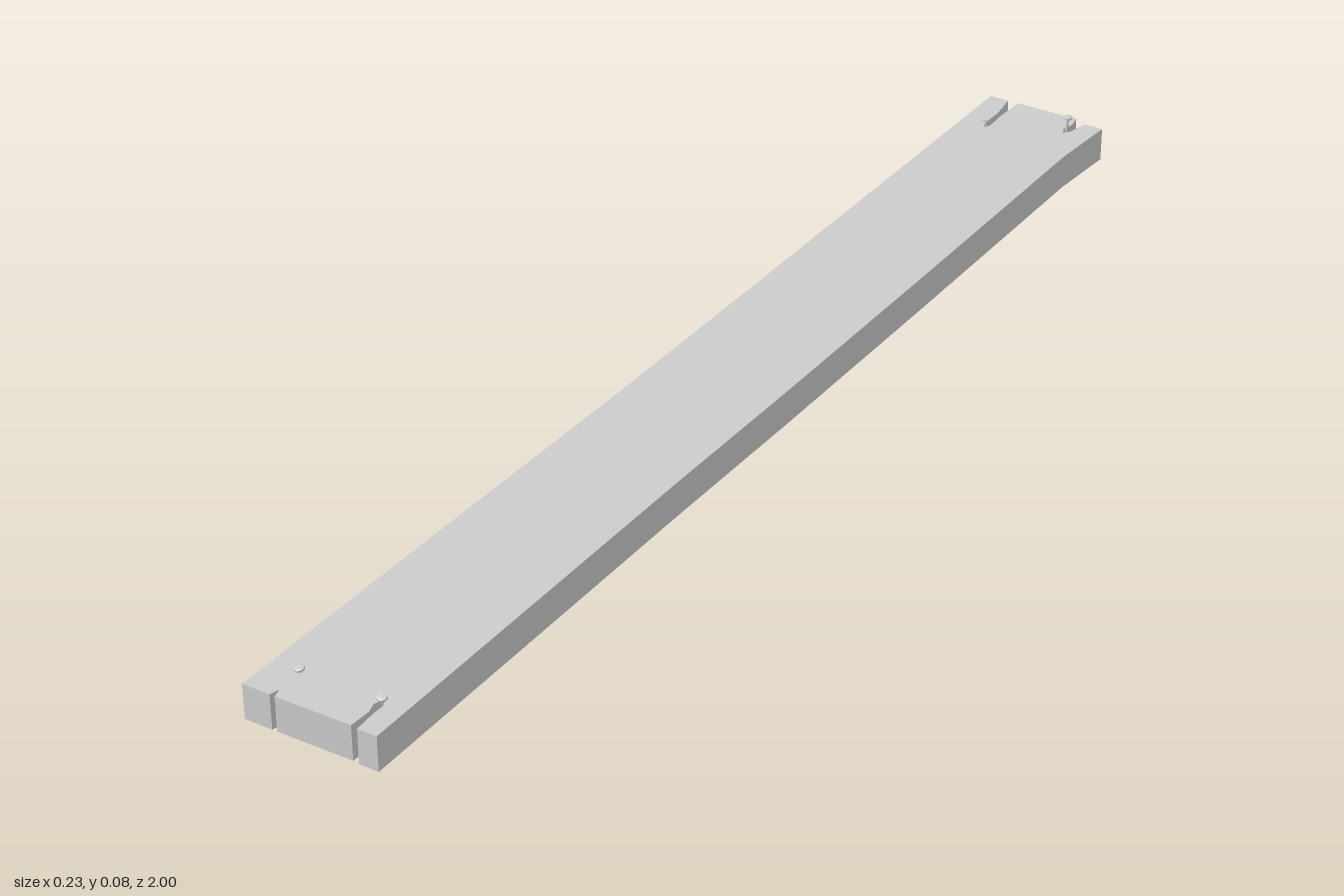
import * as THREE from 'three';

const THICK = 0.056;

export function createModel() {
  const model = new THREE.Group();
  const material = new THREE.MeshStandardMaterial({ color: 0xcccccc, flatShading: true });

  // Plank outline as [x, z], with splits running in from both ends to the nails
  const outline = [
    [-0.115, 1],
    [-0.070, 1], [-0.066, 0.985], [-0.062, 1], // short split, front right
    [0.059, 0.998], [0.061, 0.962], [0.056, 0.945], [0.062, 0.934],
    [0.069, 0.94], [0.068, 0.962], [0.070, 1], // split, front left
    [0.101, 1], [0.102, 0.3], [0.105, 0], [0.106, -0.4], [0.105, -0.87],
    [0.113, -0.99],
    [0.081, -0.99], [0.072, -0.952], [0.064, -0.945], [0.058, -0.958],
    [0.064, -0.975], [0.060, -1], // split, back left
    [-0.050, -1], [-0.052, -0.94], [-0.050, -0.905], [-0.056, -0.893],
    [-0.062, -0.905], [-0.061, -0.95], [-0.068, -1], // split, back right
    [-0.101, -1], [-0.101, -0.3], [-0.102, 0.1], [-0.108, 0.5],
  ];
  const shape = new THREE.Shape(outline.map(([x, z]) => new THREE.Vector2(x, -z)));
  const plankGeometry = new THREE.ExtrudeGeometry(shape, { depth: THICK, bevelEnabled: false });
  plankGeometry.rotateX(-Math.PI / 2);
  const plank = new THREE.Mesh(plankGeometry, material);
  plank.name = 'plank';
  model.add(plank);

  // Nail: origin at the top of the head, pointing down
  const profile = [[0, -0.052], [0.0022, -0.044], [0.0022, -0.006], [0.0075, -0.004],
    [0.0075, -0.001], [0.005, 0], [0, 0]].map(([r, y]) => new THREE.Vector2(r, y));
  const nailGeometry = new THREE.LatheGeometry(profile, 10);

  // Name, head position and lean about x and z
  const nails = [
    ['frontLeftNail', [0.064, 0.067, 0.938], [0.25, -0.08]],
    ['frontRightNail', [-0.068, 0.064, 0.940], [0.2, 0.15]],
    ['backLeftNail', [0.068, 0.084, -0.952], [0, -0.06]],
    ['backRightNail', [-0.055, 0.071, -0.897], [-0.1, 0.06]],
  ];
  for (const [name, position, [leanX, leanZ]] of nails) {
    const nail = new THREE.Mesh(nailGeometry, material);
    nail.name = name;
    nail.position.set(...position);
    nail.rotation.set(leanX, 0, leanZ);
    model.add(nail);
  }
  return model;
}
